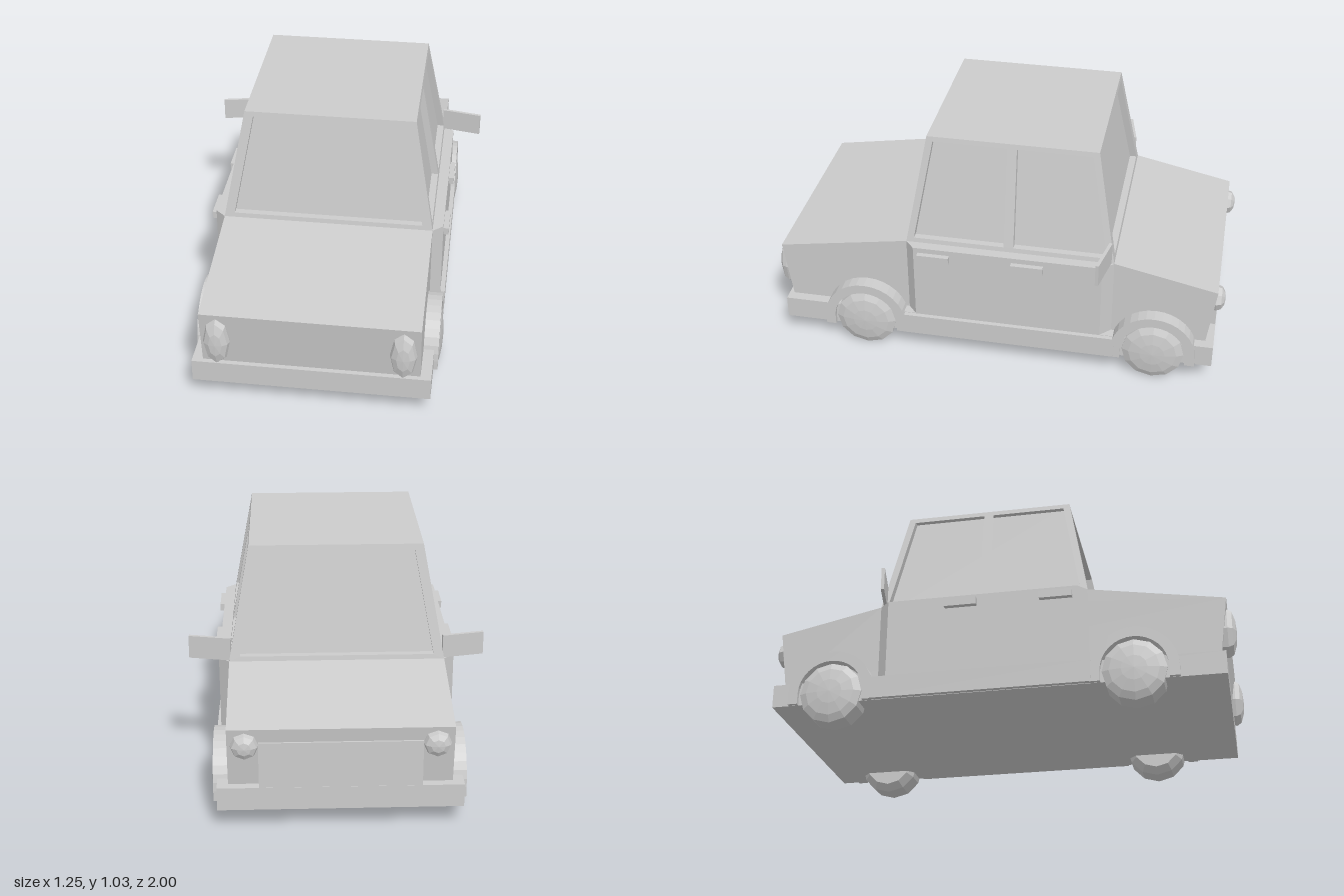
import * as THREE from 'three';

const material = new THREE.MeshStandardMaterial({ color: 0xcccccc, flatShading: true });

export function createModel() {
  const car = new THREE.Group();
  car.name = 'car';

  const add = (name, geometry, x = 0, y = 0, z = 0) => {
    const mesh = new THREE.Mesh(geometry, material);
    mesh.name = name;
    mesh.position.set(x, y, z);
    car.add(mesh);
    return mesh;
  };
  // Box given by its minimum and maximum on each axis
  const box = (name, x0, x1, y0, y1, z0, z1) =>
    add(name, new THREE.BoxGeometry(x1 - x0, y1 - y0, z1 - z0), (x0 + x1) / 2, (y0 + y1) / 2, (z0 + z1) / 2);
  const outline = (points) => points.map(([x, y]) => new THREE.Vector2(x, y));
  const extrude = (shape, depth, curveSegments = 6) =>
    new THREE.ExtrudeGeometry(shape, { depth, bevelEnabled: false, curveSegments });

  // Chassis slab forming bumpers, and wider sills between the wheel arches
  box('chassis', -0.5, 0.5, 0.09, 0.19, -0.968, 0.953);
  box('sills', -0.52, 0.52, 0.092, 0.188, -0.54, 0.4);

  // Body: side profile extruded across the width
  const profile = outline([
    [-0.925, 0.12], [0.925, 0.12], [0.932, 0.19], [0.967, 0.45],
    [0.39, 0.545], [-0.52, 0.545], [-0.967, 0.45], [-0.932, 0.19],
  ].map(([z, y]) => [-z, y]));
  add('body', extrude(new THREE.Shape(profile), 0.91).translate(0, 0, -0.455).rotateY(Math.PI / 2));

  // Door section with bevelled ends: plan outline extruded upwards
  const plan = outline([
    [-0.455, -0.39], [0.455, -0.39], [0.5, -0.35], [0.5, 0.475],
    [0.455, 0.52], [-0.455, 0.52], [-0.5, 0.475], [-0.5, -0.35],
  ]);
  add('doors', extrude(new THREE.Shape(plan), 0.365).rotateX(-Math.PI / 2), 0, 0.18, 0);

  // Grille panel between the round lamps
  box('grille', -0.33, 0.33, 0.19, 0.39, -0.967, -0.9);

  // Cabin: four sloped frames with window holes around a recessed glass core
  const y0 = 0.545, y1 = 1.03, recess = 0.03;
  const frame = (name, corners, windows, base, lean, angle) => {
    const shape = new THREE.Shape(outline(corners));
    shape.holes = windows.map((w) => new THREE.Path(outline(w)));
    const geometry = extrude(shape, recess).translate(0, 0, base - recess);
    const p = geometry.attributes.position;
    for (let i = 0; i < p.count; i++) {
      p.setZ(i, p.getZ(i) - lean * (p.getY(i) - y0) / (y1 - y0));
    }
    geometry.rotateY(angle);
    geometry.computeVertexNormals();
    add(name, geometry);
  };
  const endCorners = [[-0.455, y0], [0.455, y0], [0.365, y1], [-0.365, y1]];
  const endWindow = [[-0.41, 0.565], [0.41, 0.565], [0.328, 1.008], [-0.328, 1.008]];
  frame('rearWindowFrame', endCorners, [endWindow], 0.39, 0.085, 0);
  frame('windshieldFrame', endCorners, [endWindow], 0.52, 0.09, Math.PI);
  for (const s of [1, -1]) {
    const flip = (pts) => pts.map(([z, y]) => [-s * z, y]);
    frame('sideWindowFrame',
      flip([[0.39, y0], [-0.52, y0], [-0.43, y1], [0.305, y1]]),
      [
        flip([[0.375, 0.565], [-0.04, 0.565], [-0.04, 1.008], [0.297, 1.008]]),
        flip([[-0.083, 0.565], [-0.497, 0.565], [-0.418, 1.008], [-0.083, 1.008]]),
      ], 0.455, 0.09, s * Math.PI / 2);
  }
  const core = new THREE.BoxGeometry(2, 1, 2);
  const cp = core.attributes.position;
  for (let i = 0; i < cp.count; i++) {
    const top = cp.getY(i) > 0, front = cp.getZ(i) < 0;
    const halfX = (top ? 0.365 : 0.455) - recess + 0.002;
    const z = front ? (top ? -0.43 : -0.52) + recess : (top ? 0.305 : 0.39) - recess;
    cp.setXYZ(i, Math.sign(cp.getX(i)) * halfX, top ? y1 - 0.002 : y0 - 0.01, z);
  }
  core.computeVertexNormals();
  add('windowGlass', core);
  box('roof', -0.365, 0.365, 1.012, y1, -0.43, 0.305);

  // Wheels and lamps are low-sided lathes turned to face outwards
  const lathe = (points, sides) => new THREE.LatheGeometry(outline(points), sides);
  const wheelProfile = [[0, 0.38], [0.105, 0.38], [0.135, 0.41], [0.135, 0.505], [0.105, 0.519], [0.055, 0.527], [0, 0.53]];
  const arch = new THREE.Shape();
  arch.moveTo(0.185, -0.045);
  arch.lineTo(0.185, 0);
  arch.absarc(0, 0, 0.185, 0, Math.PI, false);
  arch.lineTo(-0.185, -0.045);
  arch.lineTo(-0.142, -0.045);
  arch.absarc(0, 0, 0.142, Math.PI, 0, true);
  arch.lineTo(0.142, -0.045);

  for (const s of [1, -1]) {
    for (const z of [0.58, -0.71]) {
      const wheel = add('wheel', lathe(wheelProfile, 12).rotateZ(-Math.PI / 2), 0, 0.135, z);
      wheel.rotation.y = s > 0 ? 0 : Math.PI;
      add('wheelArch', extrude(arch, 0.075, 8).rotateY(s * Math.PI / 2), s * 0.443, 0.136, z);
    }

    // Tall oval rear lamps and round front lamps
    const dome = [[0, -0.04], [0.9, -0.04], [1, 0.025], [0.88, 0.045], [0.5, 0.058], [0, 0.062]];
    const rearLamp = add('rearLamp', lathe(dome, 8).rotateX(Math.PI / 2), s * 0.385, 0.318, 0.938);
    rearLamp.scale.set(0.056, 0.113, 1);
    const frontLamp = add('frontLamp', lathe(dome, 8).rotateX(-Math.PI / 2), s * 0.385, 0.378, -0.938);
    frontLamp.scale.set(0.057, 0.057, 1);

    // Door handles
    for (const z of [0.26, -0.152]) {
      add('doorHandle', new THREE.BoxGeometry(0.03, 0.032, 0.14), s * 0.508, 0.506, z);
    }

    // Wing mirrors angled away from the windshield pillars
    const mirror = add('wingMirror', new THREE.BoxGeometry(0.18, 0.1, 0.014), s * 0.536, 0.595, -0.484);
    mirror.rotation.y = -s * 0.2;
  }
  return car;
}
